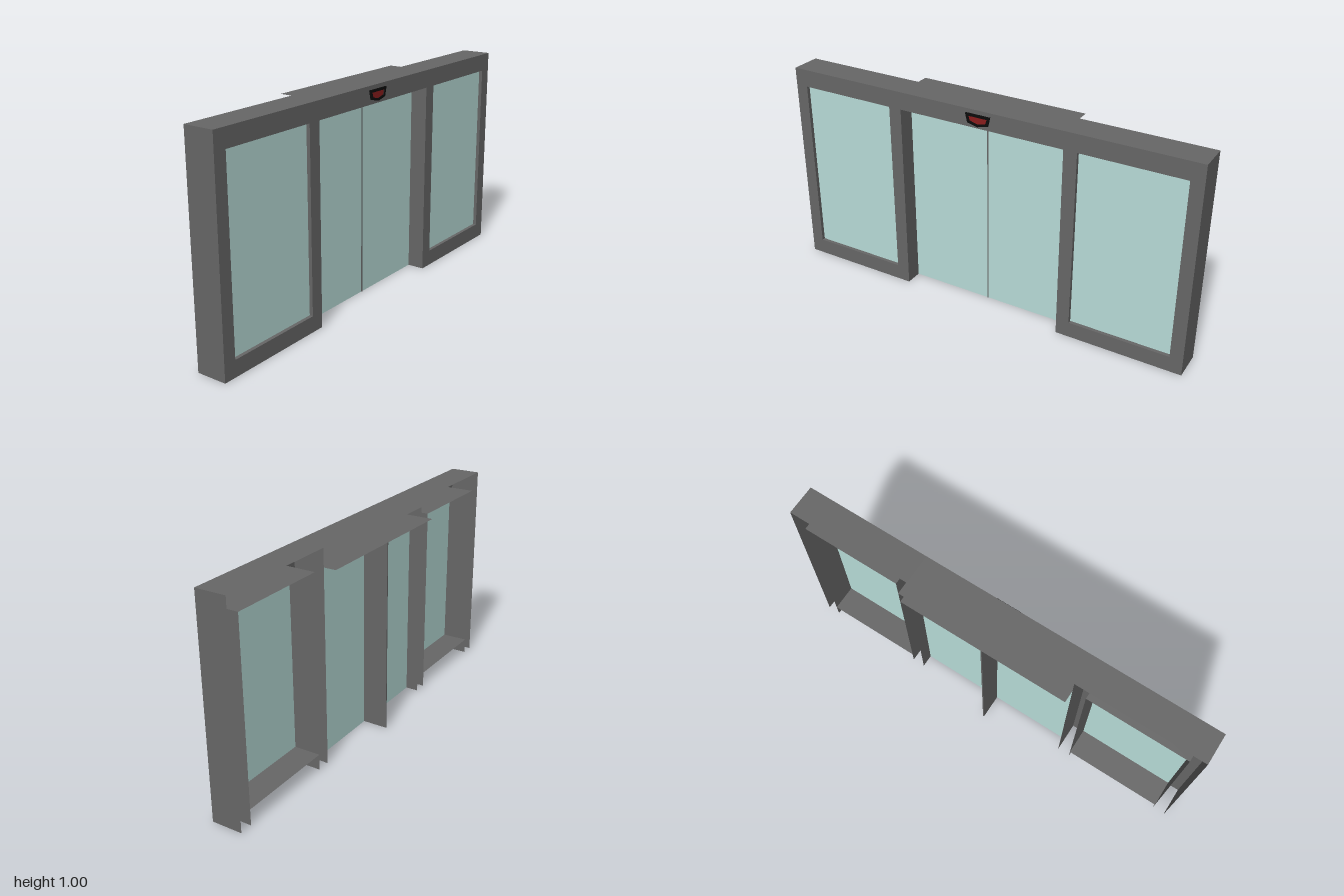
import * as THREE from 'three';

const FRONT = 0.097, BACK = -0.047, LEDGE = -0.105; // depths along x
const TOP = 0.996, HEAD = 0.913, SILL = 0.075;      // heights
const DOOR = 0.403, WIN_IN = 0.465, WIN_OUT = 0.94, END = 1; // positions along z

const material = (color) => new THREE.MeshStandardMaterial({ color, side: THREE.DoubleSide });

export function createModel() {
  const model = new THREE.Group();
  const frame = material(0x666666), glass = material(0xb7dbd7);
  const black = material(0x0c0c0c), red = material(0x8a1c1c);

  const add = (name, geometry, mat, parent) => {
    const mesh = new THREE.Mesh(geometry, mat);
    mesh.name = name;
    parent.add(mesh);
    return mesh;
  };

  // Thin sheets, each perpendicular to one axis
  const sheetX = (name, x, y0, y1, z0, z1, mat, parent) => {
    const g = new THREE.PlaneGeometry(Math.abs(z1 - z0), y1 - y0).rotateY(Math.PI / 2);
    return add(name, g.translate(x, (y0 + y1) / 2, (z0 + z1) / 2), mat, parent);
  };
  const sheetY = (name, y, x0, x1, z0, z1, parent) => {
    const g = new THREE.PlaneGeometry(x1 - x0, Math.abs(z1 - z0)).rotateX(-Math.PI / 2);
    return add(name, g.translate((x0 + x1) / 2, y, (z0 + z1) / 2), frame, parent);
  };
  const sheetZ = (name, z, x0, x1, y0, y1, parent) => {
    const g = new THREE.PlaneGeometry(x1 - x0, y1 - y0);
    return add(name, g.translate((x0 + x1) / 2, (y0 + y1) / 2, z), frame, parent);
  };
  // Outline given as [z, y] corners
  const outline = (points, Type = THREE.Shape) =>
    new Type(points.map(([z, y]) => new THREE.Vector2(-z, y)));
  const rect = (z0, z1, y0, y1) => [[z0, y0], [z1, y0], [z1, y1], [z0, y1]];

  // Fixed window bays and sliding doors, mirrored about the middle
  for (const s of [1, -1]) {
    const side = s > 0 ? 'left' : 'right';
    const bay = new THREE.Group();
    bay.name = side + 'WindowBay';
    model.add(bay);

    const face = outline(rect(s * DOOR, s * END, 0, TOP));
    face.holes.push(outline(rect(s * WIN_IN, s * WIN_OUT, SILL, HEAD), THREE.Path));
    add('windowFrameFace', new THREE.ShapeGeometry(face).rotateY(Math.PI / 2).translate(FRONT, 0, 0), frame, bay);

    sheetZ('endPanel', s * END, BACK, FRONT, 0, TOP, bay);
    sheetZ('doorJamb', s * DOOR, BACK, FRONT, 0, TOP, bay);
    sheetZ('outerWindowJamb', s * WIN_OUT, BACK, FRONT, 0, HEAD, bay);
    sheetZ('innerWindowJamb', s * WIN_IN, BACK, FRONT, 0, HEAD, bay);
    sheetY('windowHead', HEAD, BACK, FRONT, s * WIN_IN, s * WIN_OUT, bay);
    sheetY('windowSill', SILL, BACK, FRONT, s * WIN_IN, s * WIN_OUT, bay);
    sheetY('bayTop', TOP, BACK, FRONT, s * DOOR, s * END, bay);
    sheetX('windowGlass', 0.08, SILL, HEAD, s * WIN_IN, s * WIN_OUT, glass, bay);

    sheetX(side + 'DoorGlass', 0.015, 0, HEAD, 0, s * DOOR, glass, model);
  }

  // Header over the doors, deeper than the bays and open at the back
  const header = new THREE.Group();
  header.name = 'doorHeader';
  model.add(header);
  sheetX('headerFace', FRONT, HEAD, TOP, -DOOR, DOOR, frame, header);
  sheetY('headerTop', TOP, LEDGE, FRONT, -DOOR, DOOR, header);
  sheetY('headerSoffit', HEAD, LEDGE, FRONT, -DOOR, DOOR, header);

  // Fin where the two doors meet
  const fin = new THREE.BoxGeometry(0.017 - LEDGE, HEAD, 0.006);
  add('doorMeetingFin', fin.translate((0.017 + LEDGE) / 2, HEAD / 2, 0), frame, model);

  // Motion sensor: dark bezel around a red lens
  const sensor = new THREE.Group();
  sensor.name = 'motionSensor';
  model.add(sensor);
  const lensPoints = [[0.046, 0.966], [0.039, 0.944], [0, 0.934], [-0.039, 0.944], [-0.046, 0.966]];
  const bezel = outline([[0.06, 0.977], [0.05, 0.935], [0, 0.923], [-0.05, 0.935], [-0.06, 0.977]]);
  bezel.holes.push(outline(lensPoints, THREE.Path));
  const solid = (shape, depth) => new THREE.ExtrudeGeometry(shape, { depth, bevelEnabled: false })
    .rotateY(Math.PI / 2).translate(FRONT, 0, 0);
  add('sensorBezel', solid(bezel, 0.008), black, sensor);
  add('sensorLens', solid(outline(lensPoints), 0.004), red, sensor);

  return model;
}
